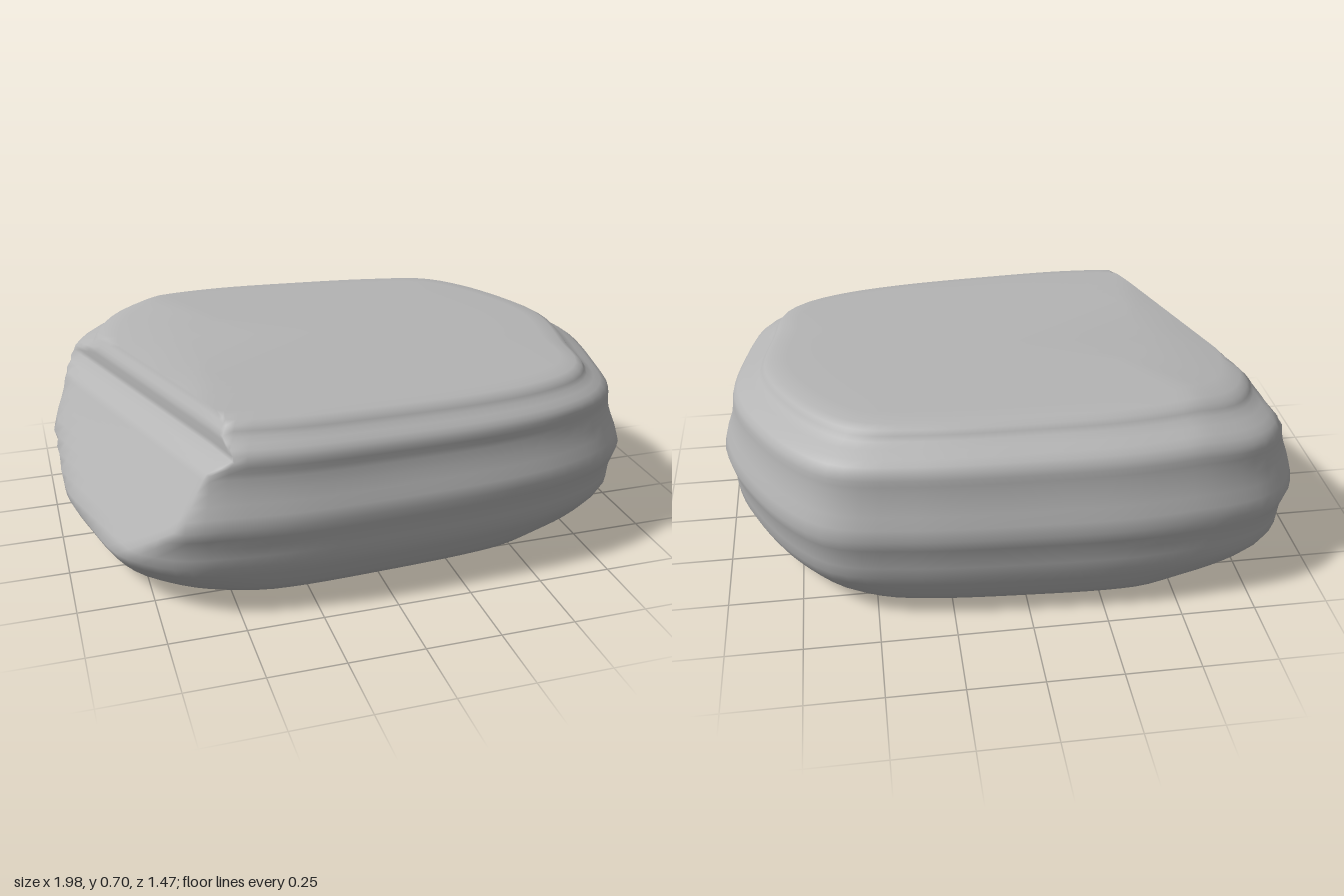
import * as THREE from 'three';

const stone = new THREE.MeshStandardMaterial({ color: 0xb4b4b4 });
stone.name = 'grey stone';

// Widest outline of the boulder, as [x, z]
const OUTLINE = [
  [1, 0], [0.97, 0.25], [0.91, 0.47], [0.81, 0.58], [0.63, 0.66], [0.4, 0.705],
  [0, 0.73], [-0.4, 0.73], [-0.67, 0.68], [-0.8, 0.59], [-0.88, 0.49], [-0.95, 0.25],
  [-1, 0], [-0.99, -0.2], [-0.93, -0.48], [-0.84, -0.61], [-0.68, -0.69], [-0.4, -0.735],
  [0, -0.73], [0.4, -0.7], [0.65, -0.645], [0.8, -0.5], [0.93, -0.27], [0.98, -0.13],
];

// Levels from underside to top: [height, inset from the outline]
const LEVELS = [
  [0, 1], [0, 0.5], [0, 0.22], [0.008, 0.155], [0.025, 0.115], [0.06, 0.088], [0.1, 0.066],
  [0.14, 0.045], [0.18, 0.029], [0.22, 0.026], [0.26, 0.022], [0.3, 0.012], [0.34, 0.002],
  [0.38, 0.012], [0.42, 0.026], [0.46, 0.038], [0.5, 0.045], [0.52, 0.047], [0.54, 0.049],
  [0.56, 0.054], [0.58, 0.068], [0.595, 0.09], [0.61, 0.12], [0.625, 0.147], [0.64, 0.158],
  [0.655, 0.168], [0.667, 0.192], [0.675, 0.25], [0.675, 0.5], [0.675, 1],
];
const TOP = 0.675;
const SEGMENTS = 96;

function boulderGeometry() {
  const { smoothstep, lerp } = THREE.MathUtils;
  const curve = new THREE.CatmullRomCurve3(
    OUTLINE.map(([x, z]) => new THREE.Vector3(x, 0, z)), true);
  const ring = curve.getSpacedPoints(SEGMENTS).slice(0, SEGMENTS);
  const positions = [];
  const indices = [];

  LEVELS.forEach(([height, levelInset], row) => {
    ring.forEach((p, i) => {
      // The front shoulder is fuller, and the lower corners are rounder
      const front = smoothstep(p.z, 0.3, 0.65) * smoothstep(height, 0.5, 0.62);
      const corner = smoothstep(Math.abs(p.x * p.z), 0.3, 0.5) * (1 - smoothstep(height, 0, 0.18));
      const inset = levelInset * (1 + (0.3 * corner - 0.4 * front) * (1 - levelInset));
      let x = p.x * Math.max(0, 1 - inset);
      const z = p.z * Math.max(0, 1 - inset / 0.73);

      // Slanted break along the -x side: sloping face, narrow ledge, short wall
      if (height > 0.15) {
        const slope = 0.65 * Math.min(0, height - 0.52);
        const ledge = 0.07 * smoothstep(height, 0.52, 0.56);
        const rim = 0.03 * smoothstep(height, 0.62, TOP);
        x = Math.max(x, -0.615 + 0.33 * (z - 0.55) + slope + ledge + rim);
      }

      // Top and underside lean slightly, and the top droops towards -x
      const low = 0.022 + 0.012 * x + 0.02 * z;
      const high = 0.677 - 0.018 * x - 0.04 * z - 0.18 * Math.max(0, -x - 0.55);
      positions.push(x, lerp(low, high, height / TOP), z);

      if (row < LEVELS.length - 1) {
        const a = row * SEGMENTS + i;
        const b = row * SEGMENTS + (i + 1) % SEGMENTS;
        indices.push(a, a + SEGMENTS, b, b, a + SEGMENTS, b + SEGMENTS);
      }
    });
  });

  const geometry = new THREE.BufferGeometry();
  geometry.setAttribute('position', new THREE.Float32BufferAttribute(positions, 3));
  geometry.setIndex(indices);
  geometry.computeVertexNormals();
  // Rest the lowest point on the ground
  geometry.computeBoundingBox();
  geometry.translate(0, -geometry.boundingBox.min.y, 0);
  return geometry;
}

export function createModel() {
  const group = new THREE.Group();
  group.name = 'flatBoulder';
  const boulder = new THREE.Mesh(boulderGeometry(), stone);
  boulder.name = 'boulder';
  group.add(boulder);
  return group;
}
